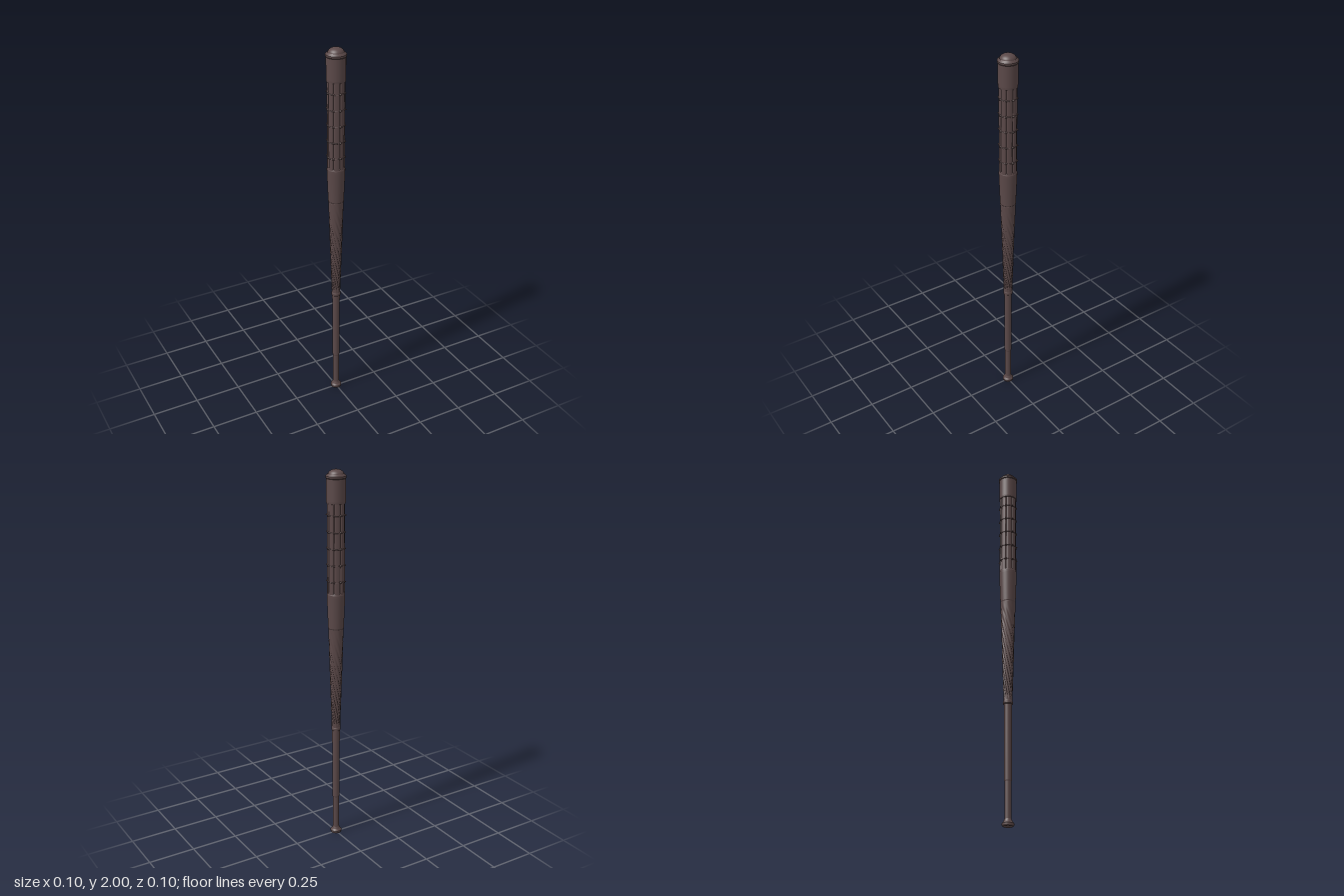
import * as THREE from 'three';
import { mergeVertices } from 'three/addons/utils/BufferGeometryUtils.js';

const material = new THREE.MeshStandardMaterial({ color: 0x5a4848 });

function add(parent, name, geometry, y = 0) {
  const mesh = new THREE.Mesh(geometry, material);
  mesh.name = name;
  mesh.position.y = y;
  parent.add(mesh);
  return mesh;
}

// Revolved part with crisp steps: one frustum per pair of [radius, y] points
function turned(parent, name, profile) {
  const part = new THREE.Group();
  part.name = name;
  for (let i = 1; i < profile.length; i++) {
    const pair = [profile[i - 1], profile[i]].map(([r, y]) => new THREE.Vector2(r, y));
    add(part, name + 'Section', new THREE.LatheGeometry(pair, 40));
  }
  parent.add(part);
}

// Round column whose radius follows a rule of angle and height
function carved(y0, y1, rows, radiusAt) {
  const g = new THREE.CylinderGeometry(1, 1, y1 - y0, 128, rows, true);
  g.translate(0, (y0 + y1) / 2, 0);
  const p = g.attributes.position;
  for (let i = 0; i < p.count; i++) {
    const a = Math.atan2(p.getX(i), p.getZ(i)), y = p.getY(i);
    const r = radiusAt(a, y);
    p.setXYZ(i, Math.sin(a) * r, y, Math.cos(a) * r);
  }
  g.deleteAttribute('uv');
  g.deleteAttribute('normal');
  const merged = mergeVertices(g, 1e-5);
  merged.computeVertexNormals();
  return merged;
}

export function createModel() {
  const bat = new THREE.Group();
  bat.name = 'bat';

  // Knob and slim handle
  turned(bat, 'knob', [[0, 0], [0.026, 0], [0.03, 0.006], [0.03, 0.014], [0.022, 0.024], [0.0175, 0.036]]);
  turned(bat, 'handle', [[0.0175, 0.03], [0.0175, 0.22], [0.019, 0.225], [0.0205, 0.63]]);
  turned(bat, 'gripCollar', [[0.02, 0.618], [0.0245, 0.622], [0.0245, 0.634], [0.022, 0.64]]);

  // Taper cut with spiral flutes that fade out toward the top
  const flutes = 10, bottom = 0.63, top = 1.19;
  add(bat, 'spiralTaper', carved(bottom, top, 90, (a, y) => {
    const t = (y - bottom) / (top - bottom);
    const wave = Math.pow(0.5 + 0.5 * Math.cos(flutes * (a + t * 5.2)), 2);
    const depth = 0.0042 * Math.min(1, t * 12, (1 - t) * 4);
    return 0.0228 + 0.0172 * t - depth * wave;
  }));

  // Smooth upper taper with a narrow seam at its foot
  turned(bat, 'upperTaper', [[0.04, 1.186], [0.0385, 1.19], [0.0405, 1.195], [0.0465, 1.36], [0.0465, 1.372], [0.042, 1.385]]);

  // Barrel divided into staves by upright grooves
  const staves = 8;
  add(bat, 'barrel', carved(1.375, 1.84, 1, (a) =>
    0.0448 - 0.005 * Math.pow(0.5 + 0.5 * Math.cos(staves * a), 8)));

  // Bands around the barrel, with a pointed stud over every groove
  const studs = new THREE.Group();
  studs.name = 'studRows';
  for (const y of [1.44, 1.525, 1.61, 1.693, 1.777]) {
    const band = add(studs, 'band', new THREE.TorusGeometry(0.0445, 0.0022, 8, 48), y);
    band.rotation.x = Math.PI / 2;
    for (let i = 0; i < staves; i++) {
      const a = (i / staves) * Math.PI * 2;
      const stud = add(studs, 'stud', new THREE.CylinderGeometry(0.0018, 0.0065, 0.01, 10), y);
      stud.position.set(Math.sin(a) * 0.0465, y, Math.cos(a) * 0.0465);
      stud.quaternion.setFromUnitVectors(
        new THREE.Vector3(0, 1, 0), new THREE.Vector3(Math.sin(a), 0, Math.cos(a)));
    }
  }
  bat.add(studs);

  // End cap: sleeve, chamfered lip and low dome
  turned(bat, 'endCap', [[0.042, 1.832], [0.0475, 1.834], [0.0485, 1.845], [0.0485, 1.955],
    [0.0515, 1.959], [0.0515, 1.968], [0.042, 1.978], [0.04, 1.975]]);
  const dome = add(bat, 'dome',
    new THREE.SphereGeometry(0.04, 40, 12, 0, Math.PI * 2, 0, Math.PI / 2), 1.974);
  dome.scale.y = 0.65;

  return bat;
}
